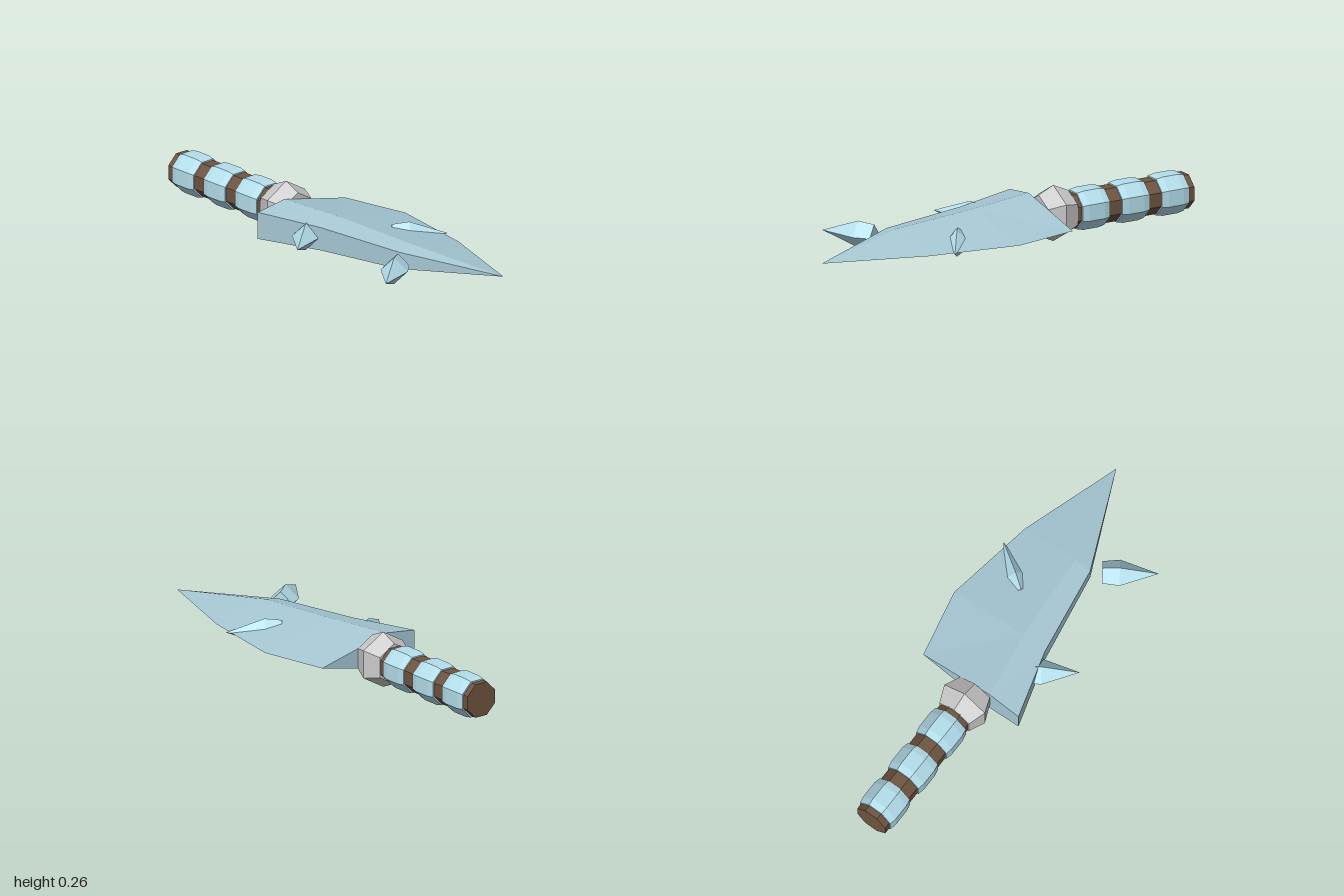
import * as THREE from 'three';

const AXIS_X = -0.018, AXIS_Y = 0.132;

const mat = (color) => new THREE.MeshStandardMaterial({ color, flatShading: true });

// Faceted solid of revolution along +z from [radius, z] pairs, closed at both ends
function facetedSolid(name, profile, sides, material, phase = 0) {
  const pts = [[0, profile[0][1]], ...profile, [0, profile[profile.length - 1][1]]]
    .map(([r, z]) => new THREE.Vector2(r, z));
  const geo = new THREE.LatheGeometry(pts, sides, phase).rotateX(Math.PI / 2).toNonIndexed();
  geo.computeVertexNormals();
  const mesh = new THREE.Mesh(geo, material);
  mesh.name = name;
  return mesh;
}

// Blade: thick spine on one side, central ridge, sharp edge on the other
function makeBlade(material) {
  // z, edge x, ridge x, ridge half height, spine x, spine half height
  const stations = [
    [-0.23, 0.27, -0.1, 0.085, -0.26, 0.063],
    [0.09, 0.337, -0.05, 0.075, -0.167, 0.054],
    [0.52, 0.265, -0.015, 0.056, -0.097, 0.04],
    [0.99, 0.11, 0.11, 0, 0.11, 0],
  ];
  const rings = stations.map(([z, ex, rx, rh, sx, sh]) =>
    [[ex, 0], [rx, rh], [sx, sh], [sx, -sh], [rx, -rh]].map(([x, y]) => [x, AXIS_Y + y, z]));
  const tris = [];
  for (let i = 0; i < rings.length - 1; i++) {
    for (let j = 0; j < 5; j++) {
      const k = (j + 1) % 5;
      const [a, b, c, d] = [rings[i][j], rings[i][k], rings[i + 1][k], rings[i + 1][j]];
      tris.push(a, b, c);
      if (i < rings.length - 2) tris.push(a, c, d);
    }
  }
  // Back face
  for (let j = 1; j < 4; j++) tris.push(rings[0][0], rings[0][j + 1], rings[0][j]);
  const geo = new THREE.BufferGeometry();
  geo.setAttribute('position', new THREE.Float32BufferAttribute(tris.flat(), 3));
  geo.computeVertexNormals();
  const mesh = new THREE.Mesh(geo, material);
  mesh.name = 'blade';
  return mesh;
}

export function createModel() {
  const model = new THREE.Group();
  model.name = 'dagger';
  const wood = mat(0x6e543f), ice = mat(0xb4deec), bladeBlue = mat(0xa6c8d4), metal = mat(0xcccccc);
  const octagon = 1 / Math.cos(Math.PI / 8);

  // Handle with three grip rings, flat sides up
  const hilt = new THREE.Group();
  hilt.name = 'hilt';
  hilt.position.set(AXIS_X, AXIS_Y, 0);
  const r = 0.078 * octagon;
  hilt.add(facetedSolid('handle', [[r, -1], [r, -0.31]], 8, wood, Math.PI / 8));
  for (const z of [-0.482, -0.69, -0.898]) {
    const profile = [[0.084, -0.072], [0.09, -0.04], [0.09, 0.04], [0.084, 0.072]]
      .map(([a, dz]) => [a * octagon, z + dz]);
    hilt.add(facetedSolid('gripRing', profile, 8, ice, Math.PI / 8));
  }

  // Hexagonal guard, widest in the middle
  hilt.add(facetedSolid('guard', [[0.095, -0.385], [0.13, -0.307], [0.095, -0.23]], 6, metal));
  model.add(hilt);

  model.add(makeBlade(bladeBlue));

  // Diamond-section spikes angled forward, one of them apart from the blade
  const angle = Math.atan2(0.205, 0.145);
  for (const [x, z, side] of [[-0.135, -0.025, -1], [-0.135, 0.56, -1], [0.097, 0.265, 1]]) {
    const spike = facetedSolid('spike', [[0.053, 0], [0.062, 0.078], [0, 0.251]], 4, ice);
    spike.position.set(x, AXIS_Y, z);
    spike.rotation.y = side * angle;
    model.add(spike);
  }
  return model;
}
